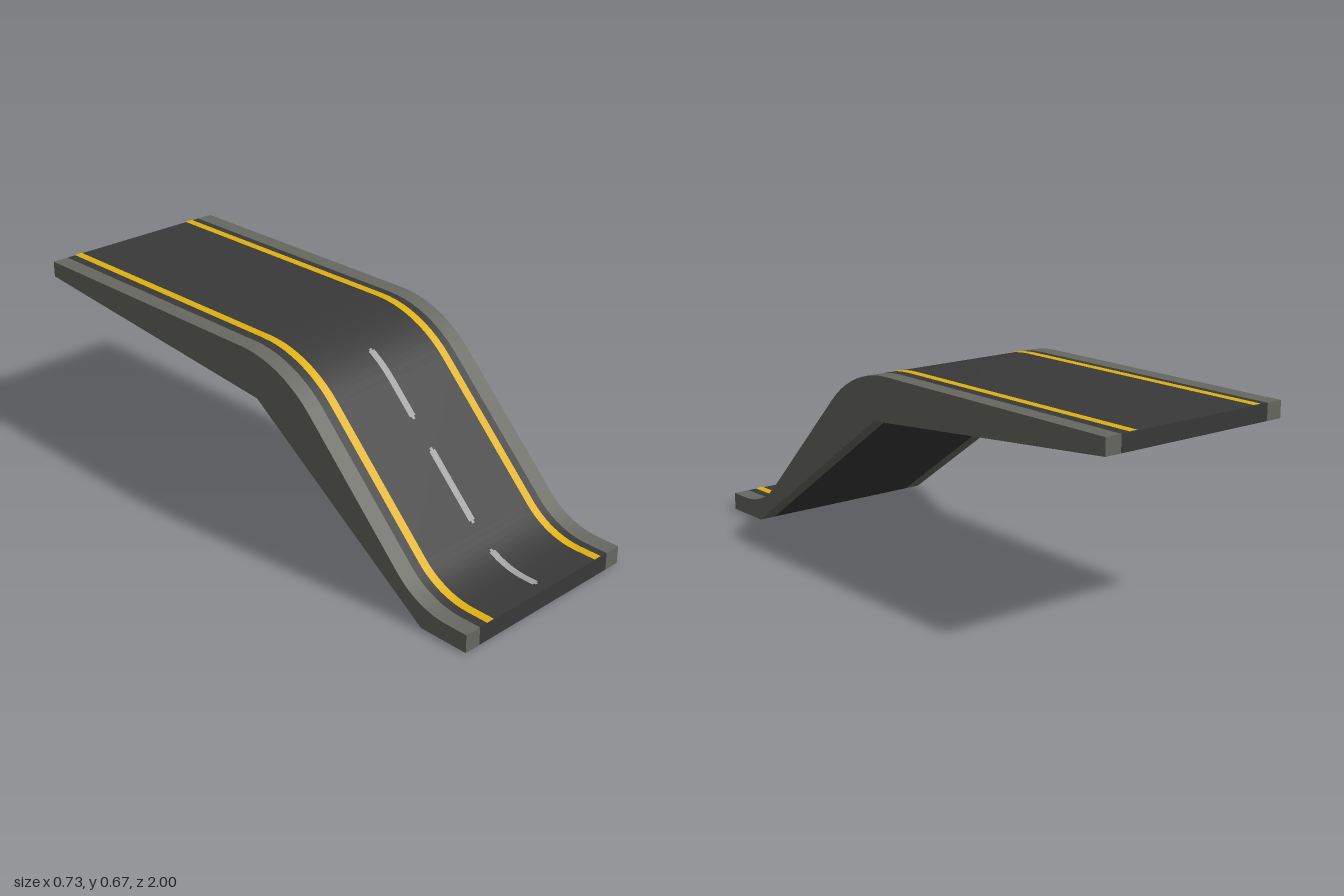
import * as THREE from 'three';
import { toCreasedNormals } from 'three/addons/utils/BufferGeometryUtils.js';

const material = (name, color) => {
  const m = new THREE.MeshStandardMaterial({ color });
  m.name = name;
  return m;
};

// Road surface height at depth z: flat, concave arc, 45 degree ramp, convex arc, flat
const LOW = 0.062, HIGH = 0.668;
const FOOT = { z: 0.92, r: 0.283 }, CREST = { z: 0.02, r: 0.438 };
const C = Math.SQRT1_2;
const footEnd = FOOT.z - FOOT.r * C, crestEnd = CREST.z + CREST.r * C;
const footY = LOW + FOOT.r * (1 - C), crestY = HIGH - CREST.r * (1 - C);
function height(z) {
  if (z >= FOOT.z) return LOW;
  if (z > footEnd) return LOW + FOOT.r - Math.sqrt(FOOT.r ** 2 - (FOOT.z - z) ** 2);
  if (z >= crestEnd) return footY + (crestY - footY) * (footEnd - z) / (footEnd - crestEnd);
  if (z > CREST.z) return HIGH - CREST.r + Math.sqrt(CREST.r ** 2 - (z - CREST.z) ** 2);
  return HIGH;
}

// Depth stations where the surface bends, from front to back
const stations = [1];
for (let i = 0; i <= 10; i++) stations.push(FOOT.z - FOOT.r * Math.sin(i * Math.PI / 40));
for (let i = 10; i >= 0; i--) stations.push(CREST.z + CREST.r * Math.sin(i * Math.PI / 40));
stations.push(-1);

// Solid band of the side profile between two x positions
function slab(name, x0, x1, mat) {
  const points = stations.map((z) => new THREE.Vector2(z, height(z)));
  for (const [z, y] of [[-1, 0.612], [0.09, 0.51], [0.82, 0], [1, 0]]) points.push(new THREE.Vector2(z, y));
  const geo = new THREE.ExtrudeGeometry(new THREE.Shape(points), { depth: x1 - x0, bevelEnabled: false });
  geo.rotateY(-Math.PI / 2).translate(x1, 0, 0);
  const mesh = new THREE.Mesh(toCreasedNormals(geo, 0.3), mat);
  mesh.name = name;
  return mesh;
}

// Thin painted ribbon following the road surface
function paint(name, x0, x1, zFront, zBack, mat) {
  const zs = [zFront, ...stations.filter((z) => z < zFront - 1e-4 && z > zBack + 1e-4), zBack];
  const position = [], index = [];
  zs.forEach((z, i) => {
    const y = height(z) + 0.002;
    position.push(x0, y, z, x1, y, z);
    const a = 2 * i;
    if (i < zs.length - 1) index.push(a, a + 1, a + 3, a, a + 3, a + 2);
  });
  const geo = new THREE.BufferGeometry();
  geo.setAttribute('position', new THREE.Float32BufferAttribute(position, 3));
  geo.setIndex(index);
  geo.computeVertexNormals();
  const mesh = new THREE.Mesh(geo, mat);
  mesh.name = name;
  return mesh;
}

export function createModel() {
  const asphalt = material('asphalt', 0x393939);
  const concrete = material('concrete', 0x686862);
  const yellow = material('yellow paint', 0xdeb010);
  const white = material('dash paint', 0xa0a0a0);

  const model = new THREE.Group();
  model.name = 'roadRamp';

  // Roadway and its flush concrete edges
  model.add(slab('roadway', -0.303, 0.303, asphalt));
  model.add(slab('leftKerb', 0.303, 0.363, concrete));
  model.add(slab('rightKerb', -0.363, -0.303, concrete));

  // Edge lines
  model.add(paint('leftEdgeLine', 0.241, 0.272, 1, -1, yellow));
  model.add(paint('rightEdgeLine', -0.272, -0.241, 1, -1, yellow));

  // Centre dashes with slightly narrowed ends
  for (const [front, back] of [[0.965, 0.775], [0.7, 0.507], [0.433, 0.23]]) {
    const dash = new THREE.Group();
    dash.name = 'centreDash';
    dash.add(paint('dashBody', -0.013, 0.013, front - 0.007, back + 0.007, white));
    dash.add(paint('dashFrontTip', -0.006, 0.006, front, front - 0.007, white));
    dash.add(paint('dashBackTip', -0.006, 0.006, back + 0.007, back, white));
    model.add(dash);
  }
  return model;
}
